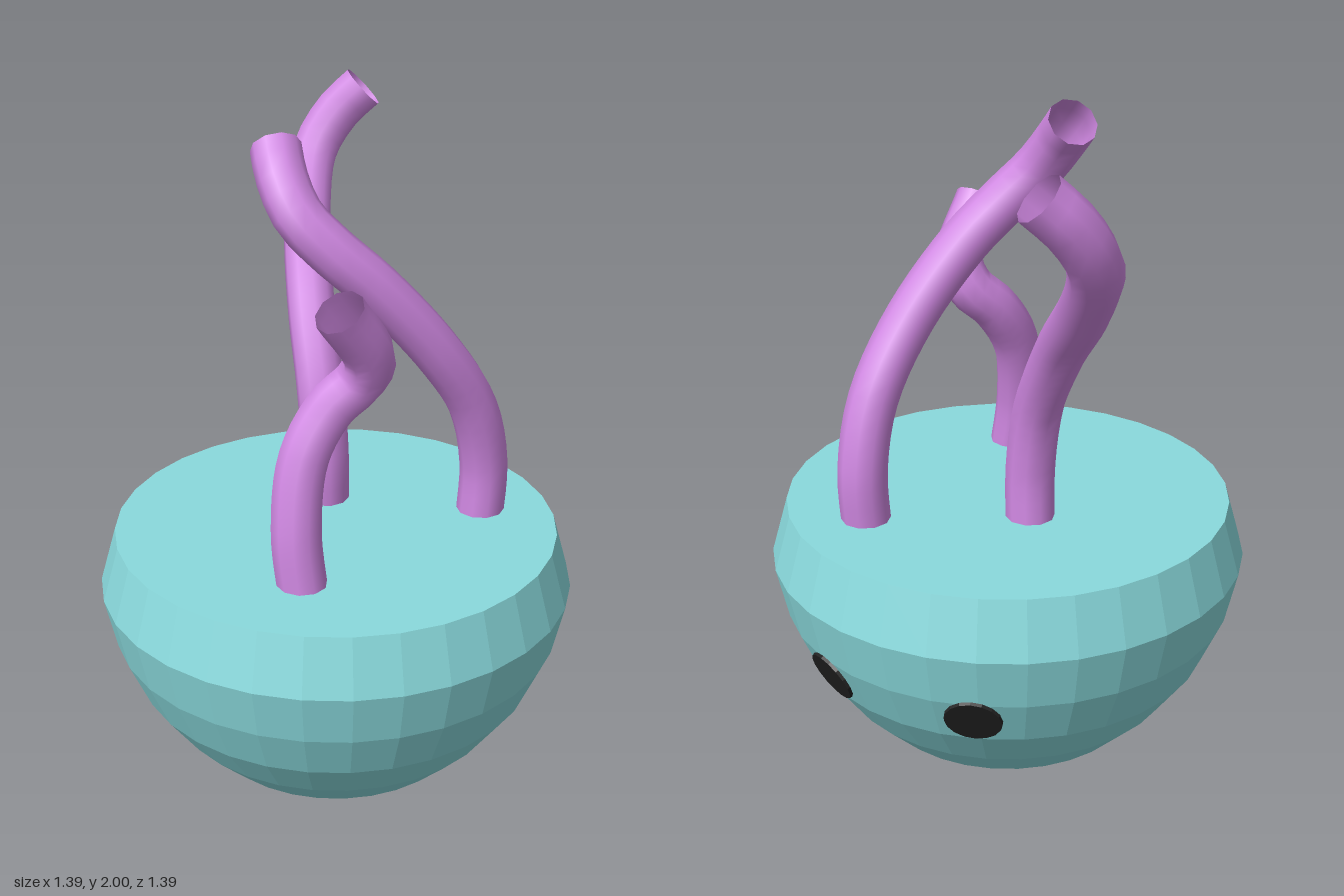
import * as THREE from 'three';

const V = (x, y, z) => new THREE.Vector3(x, y, z);

function material(name, color, side = THREE.FrontSide) {
  const m = new THREE.MeshStandardMaterial({ color, side });
  m.name = name;
  return m;
}

// Split the faces so every facet is flat
function faceted(geometry) {
  const g = geometry.toNonIndexed();
  g.computeVertexNormals();
  return g;
}

export function createModel() {
  const group = new THREE.Group();
  const teal = material('teal', 0x8adadd);
  const orchid = material('orchid', 0xd088e2, THREE.DoubleSide);
  const black = material('black', 0x222222);

  const add = (name, geometry, mat) => {
    const mesh = new THREE.Mesh(geometry, mat);
    mesh.name = name;
    group.add(mesh);
    return mesh;
  };

  // Bowl-shaped body: faceted, narrowing to the base, with a tapered rim and flat top
  const profile = [
    [0, 0.004], [0.146, 0.011], [0.265, 0.055], [0.4, 0.14], [0.508, 0.249],
    [0.6, 0.378], [0.663, 0.524], [0.697, 0.68], [0.649, 0.847], [0, 0.847],
  ].map(([r, y]) => new THREE.Vector2(r, y));
  add('body', faceted(new THREE.LatheGeometry(profile, 32)), teal);

  // Open, curling stalks growing from the flat top
  const stalks = {
    rightStalk: [
      V(-0.135, 0.8, -0.108), V(-0.13, 1.0, -0.1), V(-0.165, 1.2, -0.118), V(-0.265, 1.4, -0.192),
      V(-0.415, 1.6, -0.343), V(-0.51, 1.77, -0.485), V(-0.487, 1.88, -0.565), V(-0.43, 1.955, -0.62),
    ],
    leftStalk: [
      V(0.265, 0.8, -0.35), V(0.27, 1.0, -0.355), V(0.262, 1.2, -0.3), V(0.218, 1.4, -0.175),
      V(0.125, 1.6, -0.025), V(0.045, 1.71, 0.065), V(-0.035, 1.8, 0.11), V(-0.11, 1.89, 0.095),
      V(-0.168, 1.955, 0.055),
    ],
    frontStalk: [
      V(0.175, 0.8, 0.335), V(0.145, 1.0, 0.33), V(0.13, 1.2, 0.28), V(0.157, 1.33, 0.2),
      V(0.21, 1.405, 0.142), V(0.248, 1.48, 0.147), V(0.24, 1.64, 0.26),
    ],
  };
  for (const [name, points] of Object.entries(stalks)) {
    const curve = new THREE.CatmullRomCurve3(points);
    add(name, new THREE.TubeGeometry(curve, 28, 0.071, 10, false), orchid);
  }

  // Two dark spots lying on the back of the body
  for (const side of [1, -1]) {
    const azimuth = side * THREE.MathUtils.degToRad(21);
    const slope = THREE.MathUtils.degToRad(-23);
    const outward = V(Math.sin(azimuth), 0, -Math.cos(azimuth));
    const normal = outward.clone().multiplyScalar(Math.cos(slope)).setY(Math.sin(slope));
    const spot = add(side > 0 ? 'leftSpot' : 'rightSpot',
      faceted(new THREE.CylinderGeometry(0.08, 0.082, 0.009, 16)), black);
    spot.position.copy(outward).multiplyScalar(0.64).setY(0.467).addScaledVector(normal, 0.004);
    spot.quaternion.setFromUnitVectors(V(0, 1, 0), normal);
  }

  return group;
}
